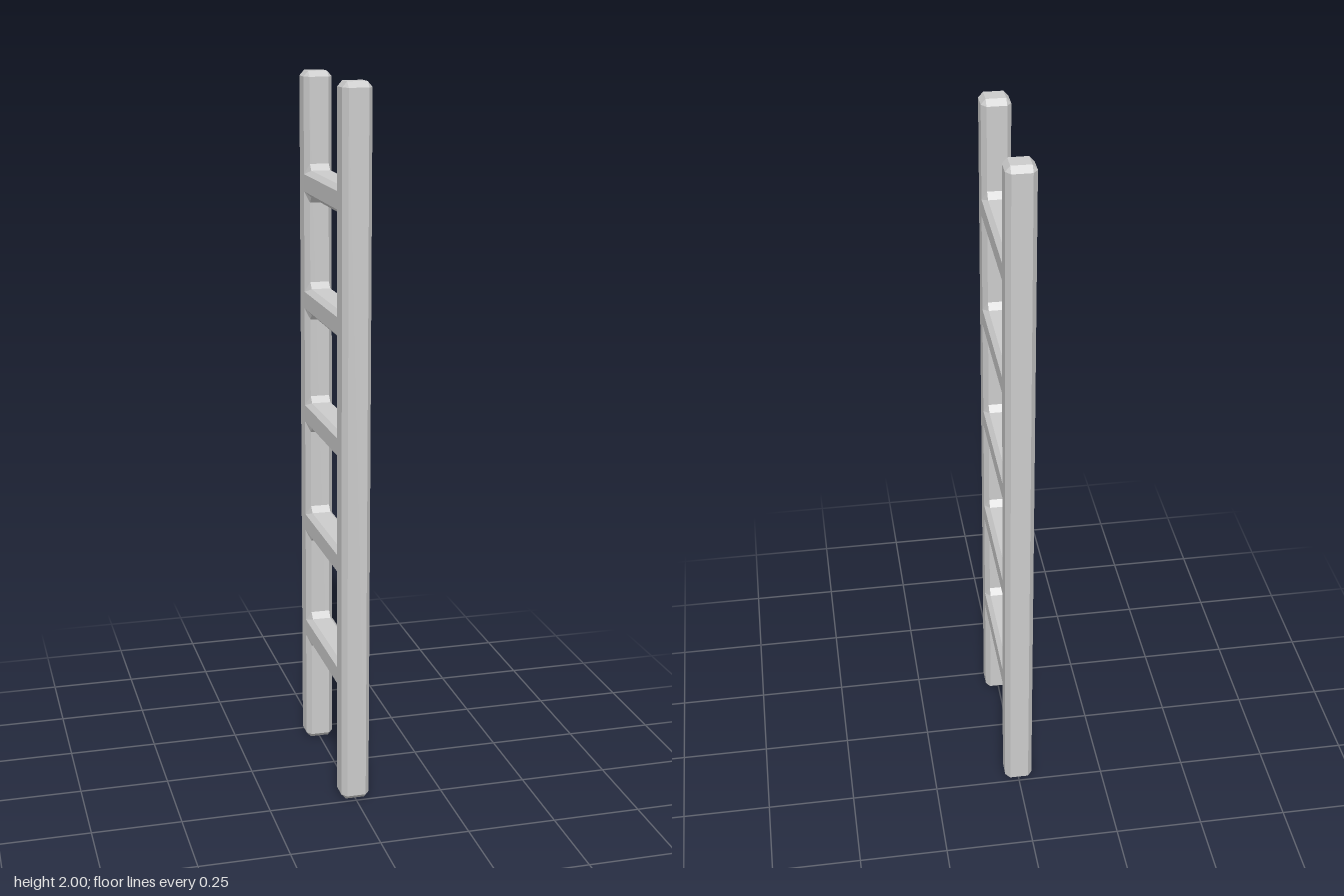
import * as THREE from 'three';
import { ConvexGeometry } from 'three/addons/geometries/ConvexGeometry.js';

const W = 0.04, FLAT = 0.027;             // half width in x: full, and inside the chamfer
const RAIL_Z = 0.2085, RAIL_HALF = 0.0415, RAIL_FLAT = 0.0245;
const RUNG_HALF = 0.037, RUNG_FLAT = 0.024;
const RUNG_END = RAIL_Z - RAIL_FLAT;      // where the rung's face meets the rail's face
const RAIL_IN = RAIL_Z - RAIL_HALF;
const BRACE = 0.017;

const material = new THREE.MeshStandardMaterial({ color: 0xcccccc, flatShading: true });

// Convex solid from points, each mirrored to both signs of x, and of y and z if asked
function hull(name, points, mirrorYZ) {
  const all = [];
  const signs = mirrorYZ ? [1, -1] : [1];
  for (const [x, y, z] of points)
    for (const sx of [1, -1]) for (const sy of signs) for (const sz of signs)
      all.push(new THREE.Vector3(x * sx, y * sy, z * sz));
  const mesh = new THREE.Mesh(new ConvexGeometry(all), material);
  mesh.name = name;
  return mesh;
}

export function createModel() {
  const ladder = new THREE.Group();
  ladder.name = 'ladder';

  // Side rails, chamfered along every edge
  for (const s of [1, -1]) {
    const rail = hull(s > 0 ? 'frontRail' : 'backRail', [
      [W, 0.985, RAIL_FLAT],
      [FLAT, 0.985, RAIL_HALF],
      [FLAT, 1, RAIL_FLAT],
    ], true);
    rail.position.set(0, 1, s * RAIL_Z);
    ladder.add(rail);
  }

  for (let i = 0; i < 5; i++) {
    const step = new THREE.Group();
    step.name = 'step' + (i + 1);
    step.position.y = 0.36 + i / 3;

    // Rung with chamfered long edges
    step.add(hull('rung', [
      [W, RUNG_FLAT, RUNG_END],
      [FLAT, RUNG_HALF, RUNG_END],
    ], true));

    // Small sloped braces in the corners between rung and rail
    for (const sy of [1, -1]) for (const sz of [1, -1]) {
      step.add(hull('cornerBrace', [
        [FLAT, sy * (RUNG_HALF + BRACE), sz * RAIL_IN],
        [FLAT, sy * RUNG_HALF, sz * (RAIL_IN - BRACE)],
        [W, sy * RUNG_FLAT, sz * RUNG_END],
      ], false));
    }
    ladder.add(step);
  }
  return ladder;
}
